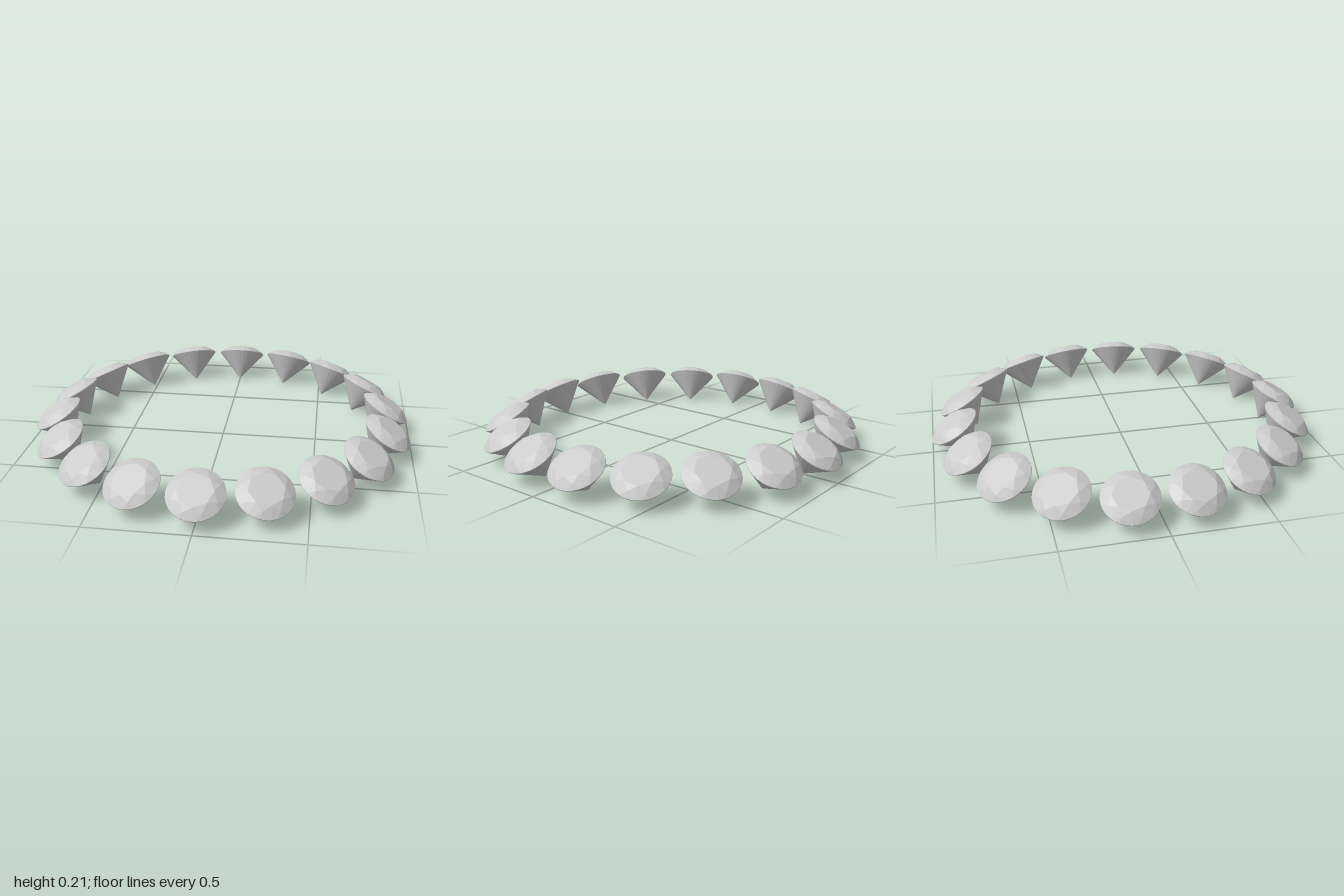
import * as THREE from 'three';
import { ConvexGeometry } from 'three/addons/geometries/ConvexGeometry.js';

const COUNT = 18;        // stones around the circle
const RING_RADIUS = 0.882;
const HEIGHT = 0.138;    // girdle centre above the ground
const TILT = Math.PI / 6; // stones lean outward

// Points of one horizontal ring of a stone
function ring(n, radius, y, phase = 0) {
  return Array.from({ length: n }, (_, i) => {
    const a = ((i + phase) / n) * Math.PI * 2;
    return new THREE.Vector3(Math.sin(a) * radius, y, Math.cos(a) * radius);
  });
}

// Round brilliant cut: table, star and kite facets, thin girdle, pointed pavilion
function brilliantGeometry() {
  return new ConvexGeometry([
    ...ring(8, 0.085, 0.036),
    ...ring(8, 0.113, 0.021, 0.5),
    ...ring(32, 0.136, 0.002),
    ...ring(32, 0.136, -0.002),
    new THREE.Vector3(0, -0.159, 0),
  ]);
}

export function createModel() {
  const model = new THREE.Group();
  model.name = 'gemstoneRing';
  const material = new THREE.MeshStandardMaterial({ color: 0xcccccc, flatShading: true });
  const geometry = brilliantGeometry();

  // Stones evenly spaced in a circle, first one at the front
  for (let i = 0; i < COUNT; i++) {
    const pivot = new THREE.Group();
    pivot.name = `gemPivot${i + 1}`;
    pivot.rotation.y = (i / COUNT) * Math.PI * 2;
    const gem = new THREE.Mesh(geometry, material);
    gem.name = `gem${i + 1}`;
    gem.position.set(0, HEIGHT, RING_RADIUS);
    gem.rotation.x = TILT;
    pivot.add(gem);
    model.add(pivot);
  }
  return model;
}
